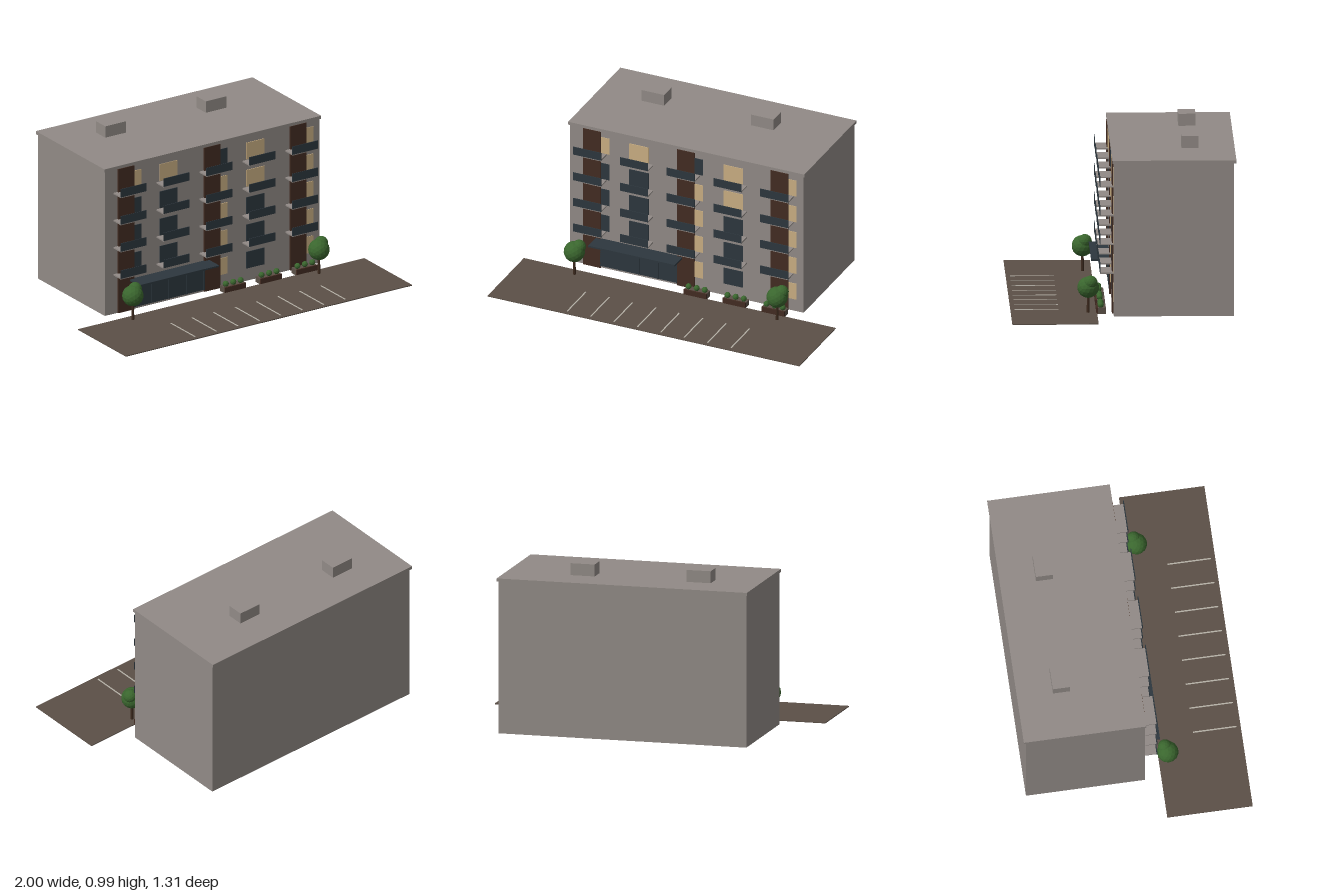
import * as THREE from 'three';

const mat = (name, color, flatShading = false) => {
  const m = new THREE.MeshStandardMaterial({ color, flatShading });
  m.name = name;
  return m;
};

export function createModel() {
  const wall = mat('warm grey render', 0x918a86);
  const wood = mat('dark brown cladding', 0x432c22);
  const dark = mat('dark slate', 0x2d373e);
  const lit = mat('lit window', 0xc9ae82);
  const paving = mat('brown asphalt', 0x5b5047);
  const paint = mat('road paint', 0xb5b0a6);
  const leaf = mat('leaf green', 0x3a662e, true);
  const trunkMat = mat('trunk brown', 0x3d2a1e);

  const model = new THREE.Group();
  model.name = 'apartmentBlock';

  // Box given by its limits on each axis
  const box = (name, m, x0, x1, y0, y1, z0, z1, parent = model) => {
    const mesh = new THREE.Mesh(new THREE.BoxGeometry(x1 - x0, y1 - y0, z1 - z0), m);
    mesh.position.set((x0 + x1) / 2, (y0 + y1) / 2, (z0 + z1) / 2);
    mesh.name = name;
    parent.add(mesh);
    return mesh;
  };
  const foliage = (name, r, detail, x, y, z, parent) => {
    const mesh = new THREE.Mesh(new THREE.IcosahedronGeometry(r, detail), leaf);
    mesh.position.set(x, y, z);
    mesh.name = name;
    parent.add(mesh);
  };
  const group = (name) => {
    const g = new THREE.Group();
    g.name = name;
    model.add(g);
    return g;
  };

  // Main volume, roof slab and roof housings
  const face = 0.058;
  box('walls', wall, -0.75, 0.75, 0, 0.903, -0.642, face);
  box('roofSlab', wall, -0.757, 0.757, 0.903, 0.922, -0.655, 0.065);
  for (const x of [-0.405, 0.297]) box('roofHousing', wall, x - 0.073, x + 0.073, 0.922, 0.993, -0.445, -0.345);

  // Vertical cladding strips
  for (const x of [-0.605, -0.003, 0.598]) box('claddingStrip', wood, x - 0.056, x + 0.056, 0, 0.902, face, 0.067);

  // Windows: one letter per floor from the ground up (l lit, d dark, - none)
  const columns = [
    [-0.56, -0.495, '-dddl'],
    [-0.367, -0.243, '-dddl'],
    [0.045, 0.105, 'lllld'],
    [0.238, 0.362, 'dddll'],
    [0.645, 0.705, 'lllll'],
  ];
  const windows = group('windows');
  for (const [x0, x1, floors] of columns) {
    [...floors].forEach((f, i) => {
      if (f === '-') return;
      const y = 0.078 + i * 0.171;
      box('window', f === 'l' ? lit : dark, x0, x1, y, y + 0.104, face, 0.062, windows);
    });
  }

  // Balconies: slab with a front parapet panel
  for (let floor = 0; floor < 4; floor++) {
    for (let i = -2; i <= 2; i++) {
      const x = i * 0.3 - 0.002;
      const y = 0.24 + floor * 0.17;
      const b = group('balcony');
      box('balconySlab', wall, x - 0.087, x + 0.087, y, y + 0.008, face, 0.136, b);
      box('balconyPanel', dark, x - 0.09, x + 0.09, y + 0.006, y + 0.057, 0.134, 0.138, b);
    }
  }

  // Entrance glazing, mullions and canopy
  const entrance = group('entrance');
  box('entranceGlazing', dark, -0.552, -0.058, 0.012, 0.18, face, 0.063, entrance);
  for (let i = 0; i <= 4; i++) {
    const x = -0.55 + i * 0.1225;
    box('entranceMullion', dark, x - 0.003, x + 0.003, 0.012, 0.18, face, 0.067, entrance);
  }
  box('entranceCanopy', dark, -0.58, -0.025, 0.183, 0.193, face, 0.17, entrance);

  // Planters with three shrubs each
  for (const x of [0.098, 0.348, 0.598]) {
    const p = group('planter');
    box('planterBox', paving, x - 0.073, x + 0.073, 0, 0.035, 0.102, 0.148, p);
    box('planterFront', wood, x - 0.073, x + 0.073, 0, 0.037, 0.148, 0.158, p);
    for (const dx of [-0.052, 0, 0.052]) foliage('shrub', 0.018, 1, x + dx, 0.05, 0.132, p);
  }

  // Forecourt and parking lines
  box('forecourt', paving, -1, 1, 0, 0.005, 0.153, 0.655);
  for (let i = 0; i < 8; i++) {
    const x = -0.5 + i * 0.15;
    box('parkingLine', paint, x - 0.004, x + 0.004, 0.005, 0.007, 0.375, 0.63);
  }

  // Trees
  for (const x of [-0.652, 0.648]) {
    const t = group('tree');
    const trunk = new THREE.Mesh(new THREE.CylinderGeometry(0.007, 0.009, 0.12, 8), trunkMat);
    trunk.position.set(x, 0.064, 0.205);
    trunk.name = 'trunk';
    t.add(trunk);
    foliage('crown', 0.063, 2, x, 0.155, 0.205, t);
    foliage('upperCrown', 0.041, 2, x + 0.024, 0.187, 0.192, t);
  }

  return model;
}
